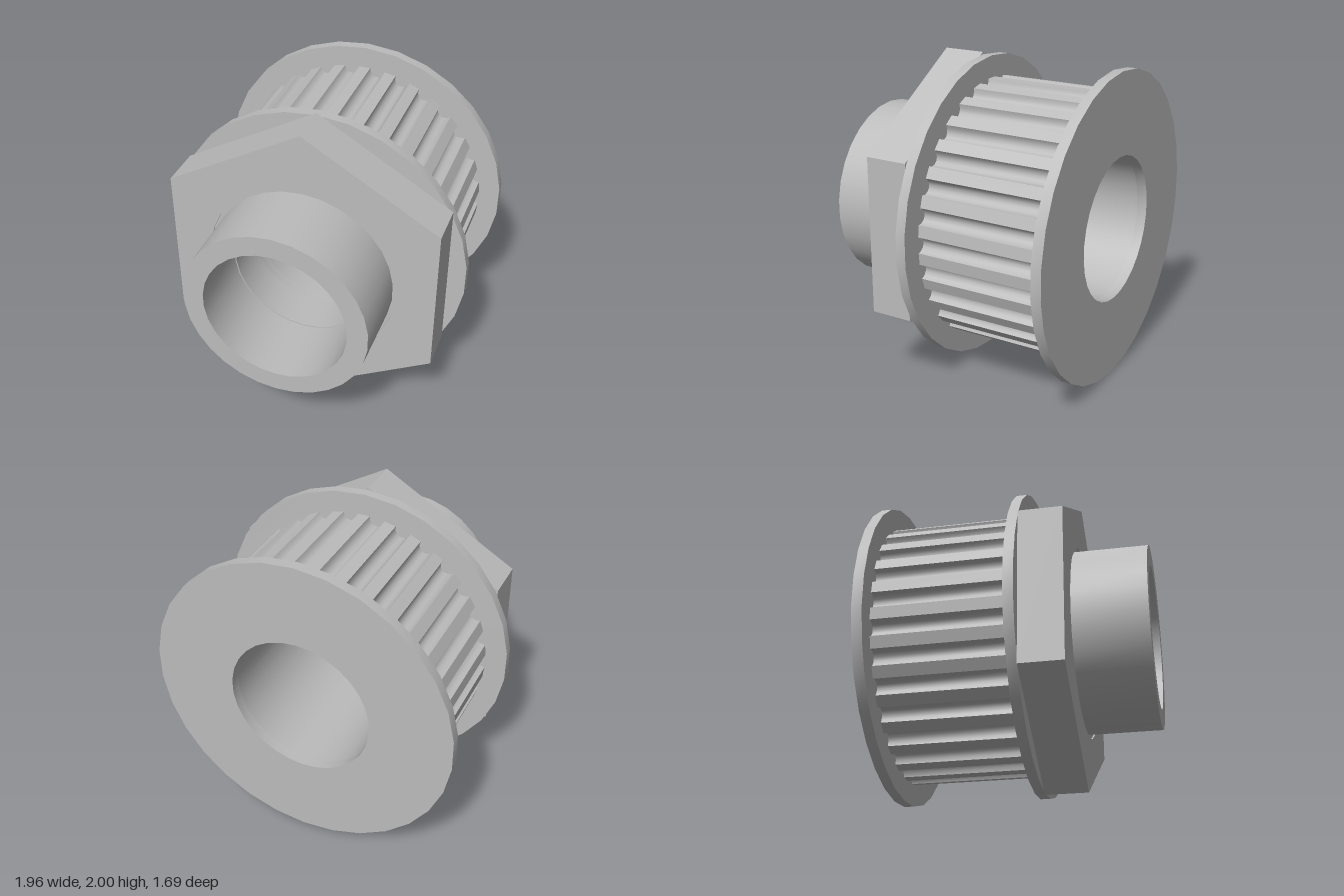
import * as THREE from 'three';
import { toCreasedNormals } from 'three/addons/utils/BufferGeometryUtils.js';

const steel = new THREE.MeshStandardMaterial({ color: 0xbcbcbc });
steel.name = 'steel';

const SIDES = 30;
const TEETH = 30;

const polar = (r, a) => new THREE.Vector2(r * Math.cos(a), r * Math.sin(a));

// Regular polygon with one corner at the top
function polygon(radius, sides) {
  return Array.from({ length: sides }, (_, i) =>
    polar(radius, Math.PI / 2 + (i / sides) * Math.PI * 2));
}

// Toothed outline: flat lands with rounded grooves between them
function toothOutline(radius, depth, halfWidth) {
  const points = [];
  const steps = 6;
  for (let i = 0; i < TEETH; i++) {
    const centre = (i / TEETH) * Math.PI * 2;
    for (let j = 0; j <= steps; j++) {
      const t = (j / steps) * Math.PI;
      points.push(polar(radius - depth * Math.sin(t), centre - halfWidth * Math.cos(t)));
    }
  }
  return points;
}

// Bored disc with the given outline between two depths
function section(name, outline, bore, z0, z1) {
  const shape = new THREE.Shape(outline);
  shape.holes.push(new THREE.Path(polygon(bore, SIDES).reverse()));
  const geometry = new THREE.ExtrudeGeometry(shape, { depth: z1 - z0, bevelEnabled: false });
  geometry.translate(0, 1, z0);
  const mesh = new THREE.Mesh(toCreasedNormals(geometry, 0.7), steel);
  mesh.name = name;
  return mesh;
}

export function createModel() {
  const group = new THREE.Group();
  group.name = 'timingPulley';

  const flange = polygon(0.985, SIDES);
  const hex = polygon(1, 6);

  group.add(
    // Toothed drum between its two flanges
    section('backFlange', flange, 0.46, -0.845, -0.78),
    section('toothedDrum', toothOutline(0.845, 0.055, 0.06), 0.46, -0.78, 0.05),
    section('frontFlange', flange, 0.455, 0.05, 0.113),
    // Hexagonal nut with a shallow recess around the collar
    section('hexNut', hex, 0.455, 0.113, 0.375),
    section('hexNutFace', hex, 0.62, 0.375, 0.385),
    // Front collar
    section('collar', polygon(0.593, SIDES), 0.462, 0.375, 0.845),
  );
  return group;
}
